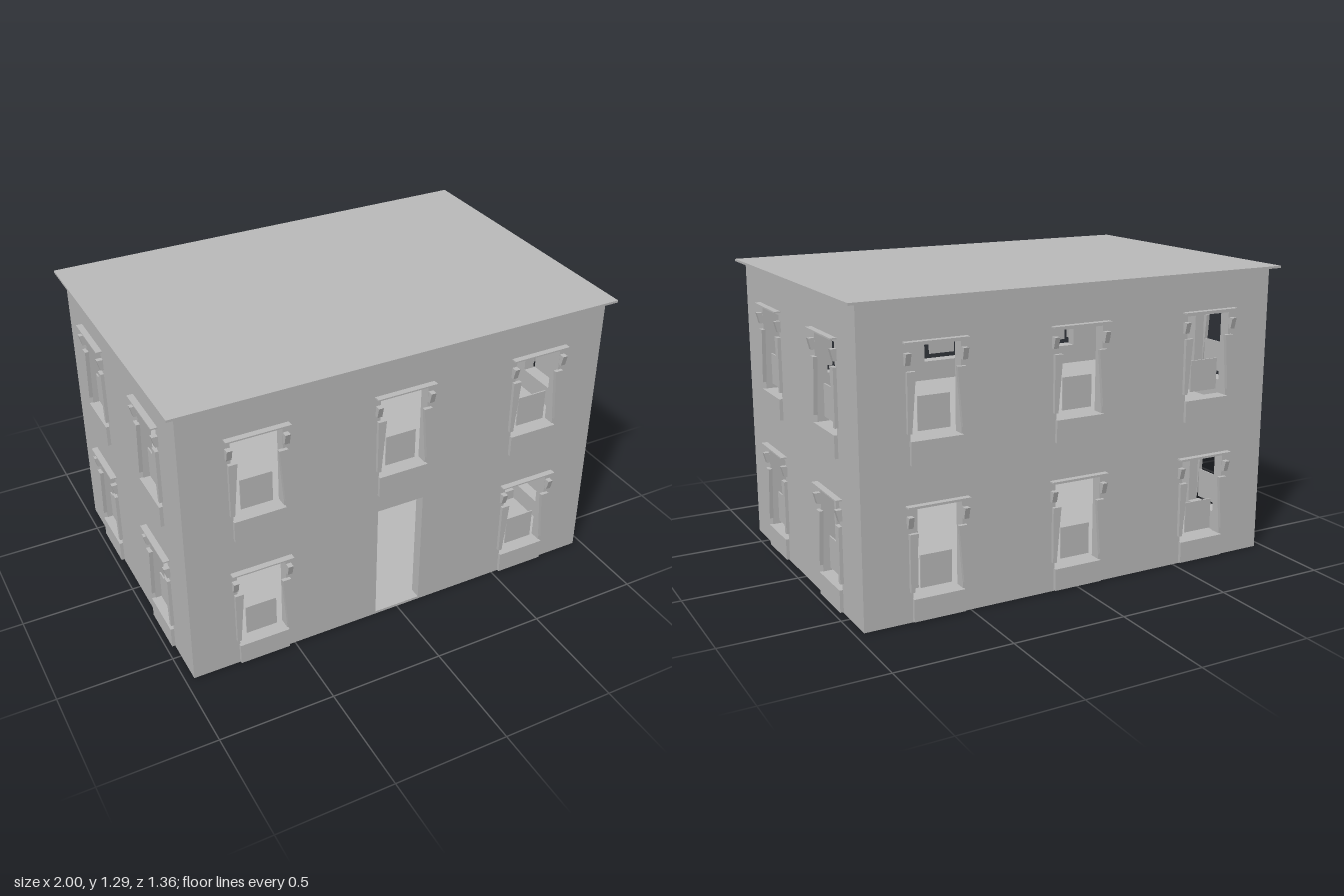
import * as THREE from 'three';

export function createModel() {
  const model = new THREE.Group();
  model.name = 'house';
  const plaster = new THREE.MeshStandardMaterial({ color: 0xbcbcbc, side: THREE.DoubleSide });
  plaster.name = 'plaster grey';

  const X = 0.962, Z = 0.646, H = 1.285, T = 0.05;
  const HALF = 0.108;          // half width of an opening
  const STOREY = 0.64;

  function add(parent, geometry, name, x = 0, y = 0, z = 0) {
    const mesh = new THREE.Mesh(geometry, plaster);
    mesh.name = name;
    mesh.position.set(x, y, z);
    parent.add(mesh);
    return mesh;
  }
  const box = (parent, name, w, h, d, x, y, z) =>
    add(parent, new THREE.BoxGeometry(w, h, d), name, x, y, z);

  function polygon(points) {
    return new THREE.Shape(points.map(([x, y]) => new THREE.Vector2(x, y)));
  }
  const rect = (x0, y0, x1, y1) => polygon([[x0, y0], [x1, y0], [x1, y1], [x0, y1]]);
  const extrude = (shape, depth) =>
    new THREE.ExtrudeGeometry(shape, { depth, bevelEnabled: false });

  // Window surround; local z = 0 is the outer face of the wall
  function createWindow() {
    const g = new THREE.Group();
    g.name = 'window';
    box(g, 'apron panel', 0.224, 0.095, 0.018, 0, 0.0525, 0.006);
    box(g, 'lower pane', 0.137, 0.137, 0.006, 0, 0.198, -0.02);
    box(g, 'hood ledge', 0.27, 0.006, 0.028, 0, 0.482, 0.013);
    for (const s of [-1, 1]) {
      // pilaster widening towards its top
      const pilaster = polygon([[s * 0.107, 0.13], [s * 0.124, 0.13], [s * 0.124, 0.37], [s * 0.087, 0.37]]);
      add(g, extrude(pilaster, 0.017), 'pilaster', 0, 0, -0.002);
      // flared bracket below the ledge
      const profile = polygon([[0, 0.395], [0.014, 0.395], [0.026, 0.442], [0, 0.442]]);
      const bracket = add(g, extrude(profile, 0.022), 'bracket', s * 0.12 + 0.011, 0, 0);
      bracket.rotation.y = -Math.PI / 2;
    }
    return g;
  }

  // Wall with openings; the group faces +z before it is turned
  function createWall(name, halfWidth, distance, angle, columns, doorColumn = -1) {
    const g = new THREE.Group();
    g.name = name;
    const shape = rect(-halfWidth, 0, halfWidth, H);
    columns.forEach((x, column) => {
      for (let floor = 0; floor < 2; floor++) {
        const base = floor * STOREY;
        const isDoor = floor === 0 && column === doorColumn;
        shape.holes.push(isDoor
          ? rect(x - HALF, 0.012, x + HALF, 0.56)
          : rect(x - HALF, base + 0.1, x + HALF, base + 0.465));
        if (isDoor) continue;
        const win = createWindow();
        win.position.set(x, base, distance);
        g.add(win);
      }
    });
    add(g, extrude(shape, T), 'wall panel', 0, 0, distance - T);
    g.rotation.y = angle;
    model.add(g);
  }

  const long = [-0.643, 0, 0.643];
  const short = [-0.323, 0.323];
  createWall('front wall', X, Z, 0, long, 1);
  createWall('back wall', X, Z, Math.PI, long);
  createWall('right side wall', Z - T, X, Math.PI / 2, short);
  createWall('left side wall', Z - T, X, -Math.PI / 2, short);

  // Floors and roof
  box(model, 'ground floor', 2 * X - 0.01, 0.01, 2 * Z - 0.01, 0, 0.005, 0);
  box(model, 'upper floor', 2 * (X - T), 0.012, 2 * (Z - T), 0, STOREY, 0);
  box(model, 'roof', 2, 0.01, 1.355, 0, 1.287, 0);

  // Staircase of upright slabs, climbing towards the back
  const stairs = new THREE.Group();
  stairs.name = 'staircase';
  for (let i = 0; i < 11; i++) {
    const h = 0.6 - i * 0.054;
    box(stairs, 'step', 0.31, h, 0.02, 0.755, h / 2, -0.355 + i * 0.0575);
  }
  model.add(stairs);

  return model;
}
